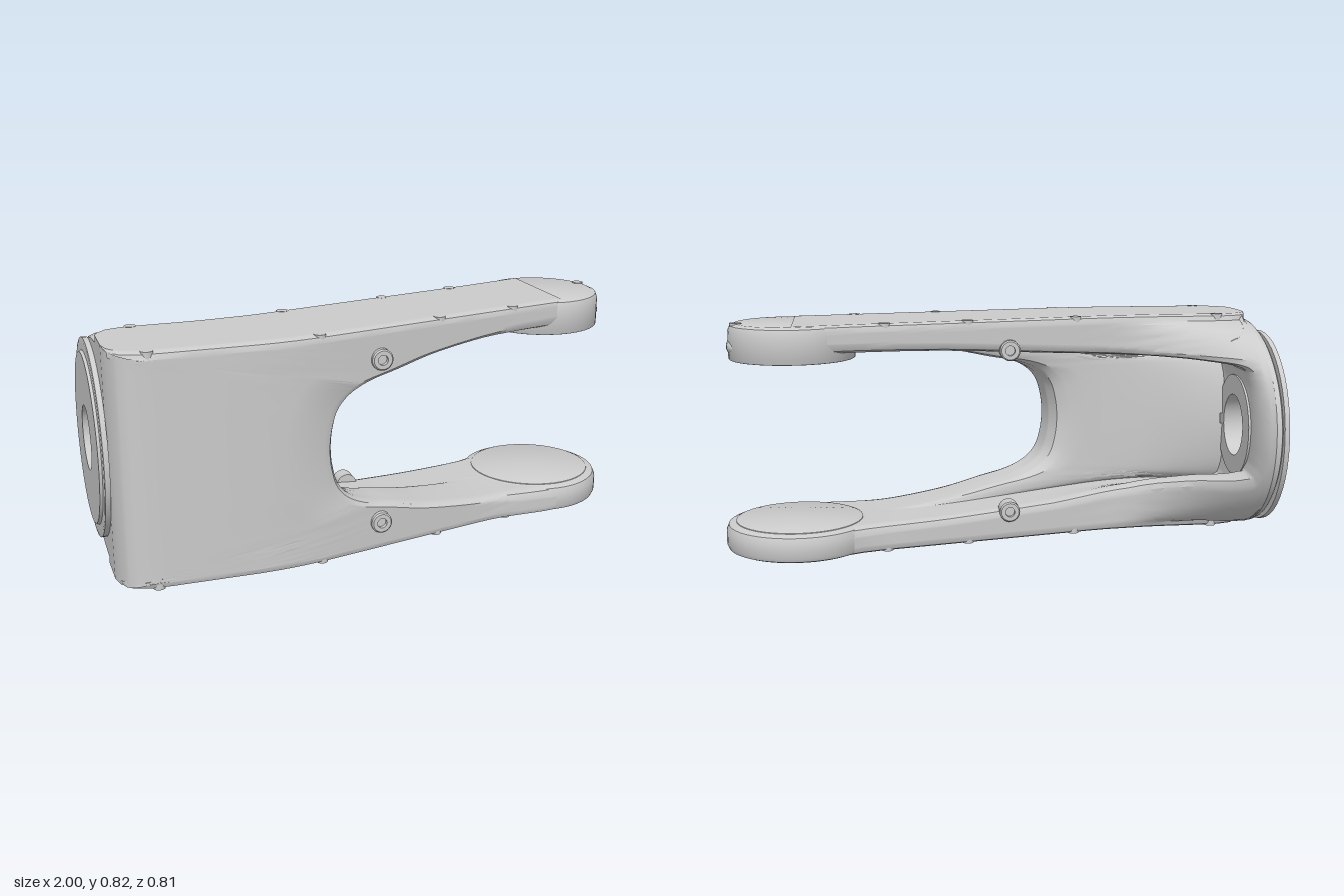
import * as THREE from 'three';
import { toCreasedNormals } from 'three/addons/utils/BufferGeometryUtils.js';

const MID = 0.412; // height of the mirror plane
const HUB_Z = -0.05; // axis of the mounting flange
const mat = new THREE.MeshStandardMaterial({ color: 0xcccccc, side: THREE.DoubleSide });

// piecewise linear lookup
function table(points, x) {
  if (x <= points[0][0]) return points[0][1];
  for (let i = 1; i < points.length; i++) {
    const [x0, y0] = points[i - 1], [x1, y1] = points[i];
    if (x <= x1) return y0 + (y1 - y0) * (x - x0) / (x1 - x0);
  }
  return points[points.length - 1][1];
}

// plan outline: front edge, back edge, the bulge swelling out to the flange, the flare of the lower arm
const FRONT = [[-0.97, 0.28], [-0.96, 0.33], [-0.935, 0.37], [-0.9, 0.392], [-0.85, 0.4], [-0.47, 0.4], [-0.38, 0.394], [-0.28, 0.38], [0.5, 0.212], [0.74, 0.162]];
const BACK = [[-0.97, 0.1], [-0.955, 0.06], [-0.92, 0.03], [-0.86, 0.015], [-0.6, 0.012], [-0.4, -0.01], [0.5, -0.21], [0.74, -0.272]];
const BULGE = [[-0.97, 1], [-0.95, 0.98], [-0.85, 0.7], [-0.72, 0.33], [-0.6, 0.11], [-0.52, 0.03], [-0.45, 0]];
const FLARE = [[0.42, 0], [0.5, 0.005], [0.6, 0.026], [0.68, 0.041], [0.74, 0.046]];
function zBack(x, dy) {
  const z = table(BACK, x);
  const round = Math.sqrt(Math.max(0, 1 - (dy / 0.385) ** 2));
  return z - (z + 0.41) * round * table(BULGE, x);
}

// half profile rows: mouth x, dy | pocket x, dy | outer x, dy | pinch of the lower back rim
const ROWS = [
  [-0.22, 0, -0.9, 0, -0.97, 0, 0],
  [-0.213, 0.07, -0.9, 0.1, -0.97, 0.12, 0.3],
  [-0.19, 0.14, -0.897, 0.19, -0.97, 0.25, 0.35],
  [-0.14, 0.19, -0.875, 0.235, -0.97, 0.37, 0.35],
  [-0.06, 0.225, -0.75, 0.25, -0.97, 0.412, 0.25],
  [0.05, 0.25, -0.5, 0.262, -0.7, 0.412, 0.08],
  [0.2, 0.285, -0.2, 0.28, -0.35, 0.412, 0],
  [0.4, 0.31, 0.2, 0.305, 0.1, 0.412, 0],
  [0.55, 0.312, 0.5, 0.312, 0.45, 0.412, 0],
  [0.74, 0.312, 0.74, 0.312, 0.74, 0.412, 0],
];
// along the slot surface: a thick web, a steep wall, then the flange pocket
const RECESS = [[0, 0], [0.1, 0], [0.3, 0.02], [0.44, 0.06], [0.5, 0.14], [0.6, 0.97], [0.63, 1], [1, 1]];
const PINCH = [[0.755, 0], [0.9, 1]];
const SUB = 5;

function profile(k) {
  const sign = k < 0 ? -1 : 1, f = Math.abs(k) / SUB;
  const i = Math.min(Math.floor(f), ROWS.length - 2), t = f - i;
  const row = (n) => n < 0 ? ROWS[-n].map((v, c) => (c % 2 ? -v : v)) : ROWS[Math.min(n, ROWS.length - 1)];
  const [a, b, c, d] = [row(i - 1), row(i), row(i + 1), row(i + 2)];
  const smooth = (n) => b[n] + 0.5 * t * (c[n] - a[n] + t * (2 * a[n] - 5 * b[n] + 4 * c[n] - d[n] + t * (3 * (b[n] - c[n]) + d[n] - a[n])));
  const line = (n, s) => b[n] + (c[n] - b[n]) * s;
  return {
    sign,
    mouth: [smooth(0), smooth(1)],
    pocket: [smooth(2), smooth(3)],
    outer: [line(4, i === 4 ? t * t : t), line(5, t)], // closer steps at the plan corner
    pinch: sign < 0 ? line(6, t) : 0,
  };
}

// one closed loop around the fork wall
function section(k) {
  const { sign, mouth, pocket, outer, pinch } = profile(k);
  const loop = [];
  const mix = (p, q, t) => [p[0] + (q[0] - p[0]) * t, p[1] + (q[1] - p[1]) * t];
  const put = ([x, dy], t, inset = 0) => {
    const flare = sign < 0 ? table(FLARE, x) : 0;
    const f = table(FRONT, x) + flare, b = zBack(x, dy) - flare;
    loop.push([x, MID + sign * dy, f + (b - f) * t + (t < 0.5 ? -inset : inset)]);
  };
  const left = outer[0] < -0.969, top = outer[1] > 0.411;
  const inward = (r) => [outer[0] + (left ? r * (top ? 0.7 : 1) : 0), outer[1] - (top ? r * (left ? 0.7 : 1) : 0)];
  const slot = (s) => {
    const [x, dy] = mix(mouth, pocket, table(RECESS, s));
    return [x, dy * (1 - pinch * table(PINCH, s))];
  };
  const r = 0.025, rim = slot(1);
  const near = (p) => Math.min(0.4, 0.035 / Math.hypot(outer[0] - p[0], outer[1] - p[1]));
  const kf = near(mouth), kb = near(rim);
  // front face
  put(outer, 0, r);
  put(inward(r * 0.3), 0, r * 0.3);
  for (let j = 0; j <= 9; j++) put(mix(inward(r), mix(mouth, outer, kf), (j / 9) ** 2), 0);
  // slot and pocket surface
  put(mix(mouth, outer, kf * 0.3), 0.024);
  for (let j = 0; j <= 44; j++) {
    const s = 0.08 + 0.86 * j / 44, p = slot(s);
    const foot = 0.53 - 0.12 * ((mouth[0] - p[0]) / 0.68) ** 2;
    put(p, table([[0, 0], [0.5, 0.5], [0.62, foot], [1, 1]], s));
  }
  put(mix(rim, outer, kb * 0.3), 0.976);
  // back face, then across the outside
  for (let j = 0; j <= 9; j++) put(mix(mix(rim, outer, kb), inward(r), j / 9), 1);
  put(inward(r * 0.3), 1, r * 0.3);
  put(outer, 1, r);
  const a = loop[loop.length - 1], b = loop[0];
  for (let j = 1; j < 24; j++) loop.push(a.map((v, c) => v + (b[c] - v) * j / 24));
  return loop;
}

function forkGeometry() {
  const n = (ROWS.length - 1) * SUB, loops = [], index = [];
  for (let k = -n; k <= n; k++) loops.push(section(k));
  const m = loops[0].length, verts = loops.flat();
  // quads over the shaft hole are left out
  const inHole = (quad) => {
    const [x, y, z] = [0, 1, 2].map((c) => quad.reduce((s, i) => s + verts[i][c], 0) / 4);
    return x < -0.8 && Math.hypot(y - MID, z - HUB_Z) < 0.14;
  };
  for (let u = 0; u < loops.length - 1; u++) {
    for (let j = 0; j < m; j++) {
      const a = u * m + j, b = u * m + (j + 1) % m, c = a + m, d = b + m;
      if (!inHole([a, b, c, d])) index.push(a, b, c, b, d, c);
    }
  }
  const g = new THREE.BufferGeometry();
  g.setAttribute('position', new THREE.Float32BufferAttribute(verts.flat(), 3));
  g.setIndex(index);
  return toCreasedNormals(g, 0.6);
}

// turned part from [radius, height] points
function turned(points, sides = 48) {
  const g = new THREE.LatheGeometry(points.map(([x, y]) => new THREE.Vector2(x, y)), sides);
  return toCreasedNormals(g, 0.6);
}

// round plate with softened rims
function plate(r, y0, y1, low, high) {
  return turned([[0, y0], [r - low, y0], [r - low * 0.3, y0 + low * 0.3], [r, y0 + low],
    [r, y1 - high], [r - high * 0.3, y1 - high * 0.3], [r - high, y1], [0, y1]]);
}

export function createModel() {
  const group = new THREE.Group();
  const add = (name, geo, x, y, z) => {
    const mesh = new THREE.Mesh(geo, mat);
    mesh.name = name;
    mesh.position.set(x, y, z);
    group.add(mesh);
    return mesh;
  };
  add('forkBody', forkGeometry(), 0, 0, 0);

  // round ends of the arms
  add('lowerArmEnd', plate(0.265, 0.002, 0.102, 0.02, 0.03), 0.735, 0, -0.055);
  add('lowerBearingPad', plate(0.23, 0.09, 0.105, 0.002, 0.002), 0.735, 0, -0.055);
  add('upperArmEnd', plate(0.225, 0.694, 0.822, 0.004, 0.025), 0.745, 0, -0.055);
  add('upperBearingPad', plate(0.1, 0.691, 0.7, 0.002, 0.002), 0.745, 0, -0.055);
  add('upperEndLug', new THREE.SphereGeometry(1, 20, 12), 0.94, 0.74, -0.055).scale.set(0.037, 0.036, 0.1);

  // flange ring with the shaft hole
  const ring = turned([[0.115, -0.108], [0.19, -0.108], [0.19, -0.03], [0.355, -0.03], [0.355, -0.012],
    [0.345, -0.01], [0.31, -0.01], [0.305, 0], [0.115, 0], [0.115, -0.108]]);
  add('mountingFlange', ring, -1, MID, HUB_Z).rotation.z = Math.PI / 2;

  // screw bosses on both faces of both arms
  const boss = turned([[0, -0.04], [0.038, -0.04], [0.038, 0.018], [0.033, 0.023], [0.018, 0.023], [0.018, 0.008], [0, 0.008]], 24);
  for (const y of [0.113, 0.713]) {
    add('frontScrewBoss', boss, -0.035, y, 0.328).rotation.x = Math.PI / 2;
    add('backScrewBoss', boss, -0.035, y, -0.093).rotation.x = -Math.PI / 2;
  }

  // small clips seated in the outer rims
  const clip = new THREE.CylinderGeometry(0.021, 0.021, 0.034, 16);
  const spots = [[-0.84, 0.376], [-0.26, 0.35], [0.21, 0.249], [0.52, 0.183], [-0.84, 0.038], [-0.29, -0.011], [0.12, -0.1], [0.42, -0.167], [0.938, -0.1]];
  for (const [x, z] of spots) {
    add('upperRimClip', clip, x, 0.808, z);
    add('lowerRimClip', clip, x, 0.017, z);
  }
  return group;
}
